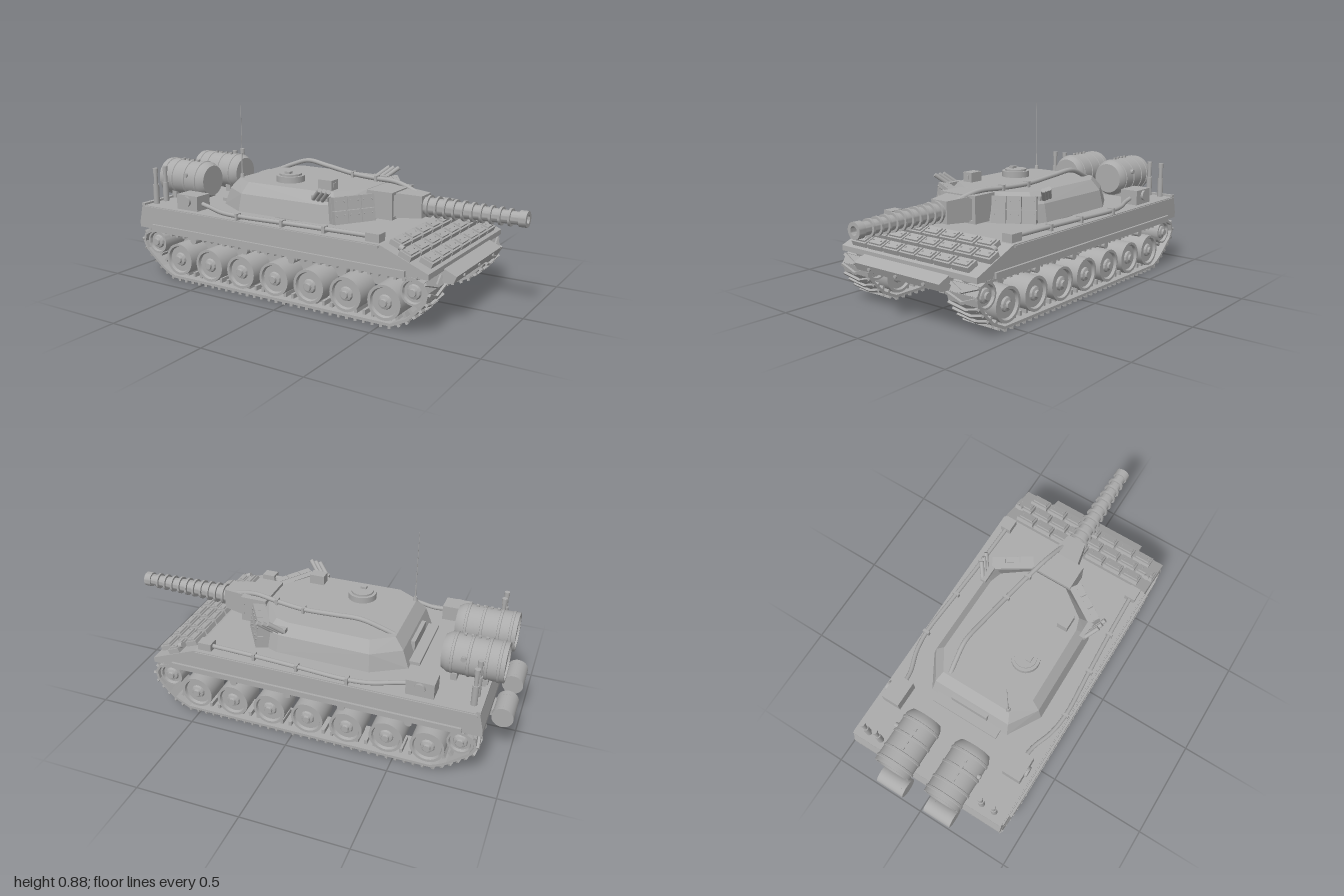
import * as THREE from 'three';
import { ConvexGeometry } from 'three/addons/geometries/ConvexGeometry.js';
import { mergeGeometries, toCreasedNormals } from 'three/addons/utils/BufferGeometryUtils.js';

const grey = new THREE.MeshStandardMaterial({ color: 0xababab });
grey.name = 'armour grey';

// Helpers
function add(parent, name, geo, x = 0, y = 0, z = 0) {
  const m = new THREE.Mesh(geo, grey);
  m.name = name;
  m.position.set(x, y, z);
  parent.add(m);
  return m;
}
const box = (w, h, d) => new THREE.BoxGeometry(w, h, d);
const cyl = (r, h, r2 = r, n = 24) => new THREE.CylinderGeometry(r2, r, h, n);
const cylX = (r, h, r2 = r, n = 24) => cyl(r, h, r2, n).rotateZ(-Math.PI / 2);
const cylZ = (r, h, r2 = r, n = 24) => cyl(r, h, r2, n).rotateX(Math.PI / 2);
const vec = (a) => new THREE.Vector3(...a);

// Profile in x/y pulled across z, centred
function slab(points, width) {
  const shape = new THREE.Shape(points.map(([x, y]) => new THREE.Vector2(x, y)));
  return new THREE.ExtrudeGeometry(shape, { depth: width, bevelEnabled: false }).translate(0, 0, -width / 2);
}
// Turned part, profile [radius, height]
function turned(points, n = 32) {
  const g = new THREE.LatheGeometry(points.map(([r, h]) => new THREE.Vector2(r, h)), n);
  return toCreasedNormals(g, 0.6);
}
function hose(points, r) {
  return new THREE.TubeGeometry(new THREE.CatmullRomCurve3(points.map(vec)), 48, r, 10);
}
function rod(parent, name, a, b, r) {
  const p = vec(a), q = vec(b), d = q.clone().sub(p);
  const m = add(parent, name, cyl(r, d.length(), r, 14));
  m.position.copy(p).add(q).multiplyScalar(0.5);
  m.quaternion.setFromUnitVectors(new THREE.Vector3(0, 1, 0), d.normalize());
}
function group(parent, name) {
  const g = new THREE.Group();
  g.name = name;
  parent.add(g);
  return g;
}

function buildHull(root) {
  const hull = group(root, 'hull');
  add(hull, 'upperHull', slab([[-0.895, 0.25], [0.73, 0.25], [0.73, 0.275], [0.5, 0.367], [-0.875, 0.367], [-0.895, 0.28]], 0.84));
  add(hull, 'lowerHull', slab([[-0.8, 0.125], [0.48, 0.125], [0.72, 0.2], [0.72, 0.252], [-0.885, 0.252], [-0.885, 0.21]], 0.5));
  add(hull, 'nosePlate', slab([[0.66, 0.19], [0.775, 0.197], [0.79, 0.232], [0.73, 0.258], [0.66, 0.258]], 0.53));
  for (const z of [-0.17, 0, 0.17]) add(hull, 'noseBolt', cylX(0.008, 0.012), 0.784, 0.215, z);
  add(hull, 'rearDeckLip', box(0.02, 0.012, 0.84), -0.868, 0.371, 0);
  for (const s of [-1, 1]) {
    add(hull, 'fenderStrip', box(1.43, 0.026, 0.05), -0.09, 0.262, s * 0.407);
    add(hull, 'sideRail', box(1.36, 0.01, 0.012), -0.185, 0.358, s * 0.42);
    add(hull, 'noseBracket', box(0.05, 0.03, 0.03), 0.72, 0.195, s * 0.235);
    // Stowage box, cable conduit and front box along each deck edge
    add(hull, 'stowageBox', box(0.13, 0.075, 0.095), -0.6, 0.405, s * 0.342);
    add(hull, 'boxCap', cylZ(0.026, 0.014), -0.6, 0.412, s * 0.395);
    add(hull, 'frontBox', box(0.068, 0.04, 0.055), 0.453, 0.385, s * 0.372);
    add(hull, 'conduit', hose([[-0.55, 0.4, s * 0.345], [-0.48, 0.39, s * 0.355], [-0.38, 0.385, s * 0.39], [-0.27, 0.385, s * 0.405],
      [-0.02, 0.385, s * 0.392], [0.2, 0.385, s * 0.38], [0.43, 0.385, s * 0.372]], 0.011));
    for (const [x, z] of [[-0.27, 0.405], [-0.02, 0.392], [0.2, 0.38]])
      add(hull, 'conduitClamp', box(0.014, 0.034, 0.034), x, 0.382, s * z);
    // Twin exhaust stacks
    for (const z of [0.288, 0.357]) {
      add(hull, 'exhaustBase', cyl(0.015, 0.105), -0.835, 0.415, s * z);
      add(hull, 'exhaustPipe', cyl(0.01, 0.07), -0.835, 0.495, s * z);
      add(hull, 'exhaustTip', cyl(0.013, 0.025), -0.835, 0.538, s * z);
    }
  }
}

// Rows of armour blocks on the sloping front
function buildGlacis(root) {
  const g = group(root, 'glacisArmour');
  g.position.set(0.5, 0.367, 0);
  g.rotation.z = -Math.atan2(0.092, 0.23);
  [[0.045, 7], [0.12, 8], [0.2, 7]].forEach(([d, n]) => {
    for (let i = 0; i < n; i++) {
      const z = (i - (n - 1) / 2) * 0.105;
      add(g, 'armourBlock', box(0.06, 0.026, 0.094), d, 0.011, z);
      add(g, 'armourLid', box(0.042, 0.01, 0.076), d, 0.027, z);
      for (const s of [-1, 1]) add(g, 'armourBolt', cyl(0.004, 0.005, 0.004, 8), d, 0.034, z + s * 0.026);
    }
  });
  for (const s of [-1, 1]) add(g, 'headlamp', cylX(0.014, 0.02), 0.085, 0.025, s * 0.385);
}

function buildTurret(root) {
  const t = group(root, 'turret');
  const levels = [
    [0.38, [[-0.5, 0.215], [-0.34, 0.31], [0.12, 0.305], [0.19, 0.28], [0.3, 0.11]]],
    [0.465, [[-0.47, 0.205], [-0.335, 0.292], [0.115, 0.287], [0.175, 0.265], [0.28, 0.105]]],
    [0.517, [[-0.425, 0.185], [-0.32, 0.25], [0.09, 0.245], [0.15, 0.225], [0.25, 0.09]]],
  ];
  const pts = [];
  for (const [y, ring] of levels) for (const [x, z] of ring) for (const s of [-1, 1]) pts.push(new THREE.Vector3(x, y, s * z));
  add(t, 'turretShell', new ConvexGeometry(pts));
  add(t, 'turretRing', cyl(0.28, 0.03, 0.28, 48), -0.08, 0.374, 0);
  add(t, 'rearShelf', box(0.09, 0.016, 0.36), -0.5, 0.39, 0);
  add(t, 'rearVent', box(0.02, 0.05, 0.2), -0.487, 0.43, 0);
  // Angled cheek armour, two rows of three
  for (const s of [-1, 1]) {
    const cheek = group(t, 'cheekArmour');
    cheek.position.set(0.247, 0.448, s * 0.215);
    cheek.rotation.order = 'YXZ';
    cheek.rotation.set(-0.16, s > 0 ? 1.0 : Math.PI - 1.0, 0);
    add(cheek, 'backing', box(0.21, 0.12, 0.03), 0, 0, -0.02);
    for (let c = -1; c <= 1; c++) for (const r of [-1, 1]) {
      add(cheek, 'cheekBlock', box(0.066, 0.06, 0.03), c * 0.07, r * 0.032, 0.01);
      for (const b of [-1, 1]) add(cheek, 'cheekBolt', cylZ(0.005, 0.006, 0.005, 8), c * 0.07 + b * 0.02, r * 0.032 + 0.01, 0.027);
    }
    // Smoke launchers
    for (let i = 0; i < 3; i++) {
      const x = 0.085 + i * 0.026, z = 0.292 + i * 0.004;
      rod(t, 'smokeLauncher', [x, 0.492, s * z], [x + 0.06, 0.545, s * (z + 0.042)], 0.011);
    }
    add(t, 'launcherBracket', box(0.09, 0.02, 0.03), 0.12, 0.497, s * 0.285);
  }
  // Cupola, sight and roof fittings
  add(t, 'cupola', cyl(0.07, 0.034), -0.165, 0.53, 0.115);
  add(t, 'cupolaHatch', cyl(0.055, 0.01), -0.165, 0.551, 0.115);
  add(t, 'hatchHandle', box(0.03, 0.012, 0.025), -0.165, 0.561, 0.135);
  add(t, 'sightBox', box(0.075, 0.055, 0.055), 0.093, 0.537, 0.182);
  add(t, 'sightWindow', box(0.006, 0.02, 0.025), 0.132, 0.541, 0.182);
  add(t, 'antennaBase', cyl(0.012, 0.024, 0.008), -0.418, 0.525, 0.175);
  add(t, 'antennaSpring', cyl(0.0035, 0.07, 0.003, 10), -0.418, 0.565, 0.175);
  add(t, 'antenna', cyl(0.002, 0.29, 0.001, 8), -0.418, 0.735, 0.175);
  add(t, 'roofHose', hose([[-0.41, 0.51, -0.155], [-0.35, 0.535, -0.162], [-0.25, 0.566, -0.17], [-0.12, 0.553, -0.155],
    [0.05, 0.533, -0.13], [0.2, 0.53, -0.1], [0.33, 0.53, -0.07], [0.46, 0.495, -0.04]], 0.012));
  for (const [x, z] of [[0.05, -0.13], [0.2, -0.1]]) add(t, 'hoseClamp', box(0.014, 0.035, 0.034), x, 0.528, z);
}

function buildGun(root) {
  const g = group(root, 'gun');
  const y = 0.454;
  add(g, 'mantlet', box(0.12, 0.13, 0.215), 0.32, y, 0);
  // Raised border on the mantlet face
  for (const s of [-1, 1]) {
    add(g, 'mantletEdge', box(0.016, 0.13, 0.016), 0.386, y, s * 0.1);
    add(g, 'mantletEdge', box(0.016, 0.014, 0.2), 0.386, y + s * 0.058, 0);
  }
  const root8 = [];
  for (const [x, h, w] of [[0.37, 0.06, 0.078], [0.515, 0.052, 0.048]])
    for (const a of [-1, 1]) for (const b of [-1, 1]) root8.push(new THREE.Vector3(x, y + a * h, b * w));
  add(g, 'gunRoot', new ConvexGeometry(root8));
  // Ribbed barrel with open muzzle
  const p = [[0, 0.45], [0.045, 0.45]];
  for (let i = 0; i < 10; i++) {
    const x = 0.53 + i * 0.043, r = 0.041 - i * 0.0013;
    p.push([r, x], [r + 0.011, x], [r + 0.011, x + 0.011], [r, x + 0.011]);
  }
  p.push([0.029, 0.965], [0.037, 0.965], [0.037, 1], [0.02, 1], [0.02, 0.9], [0, 0.9]);
  add(g, 'barrel', turned(p).rotateZ(-Math.PI / 2), 0, y, 0);
}

function buildFuel(root) {
  const f = group(root, 'fuelDrums');
  for (const z of [-0.138, 0.135]) {
    const p = [[0, -0.135], [0.082, -0.135], [0.082, -0.145], [0.094, -0.145]];
    for (const x of [-0.125, -0.07, 0.01, 0.085]) p.push([0.094, x], [0.098, x + 0.002], [0.098, x + 0.012], [0.094, x + 0.014]);
    p.push([0.094, 0.115], [0.078, 0.142], [0, 0.142]);
    add(f, 'drum', turned(p, 40).rotateZ(-Math.PI / 2), -0.787, 0.468, z);
    for (const x of [-0.85, -0.71]) add(f, 'drumCradle', box(0.03, 0.045, 0.15), x, 0.38, z);
    for (let i = 0; i < 4; i++) add(f, 'drumStud', box(0.012, 0.016, 0.012), -0.83 + i * 0.033, 0.564, z + 0.01);
    add(f, 'drumCap', cylZ(0.012, 0.02), -0.75, 0.5, z + Math.sign(z) * 0.09);
    // Small rolls on the rear plate
    add(f, 'rearRoll', cylZ(0.05, 0.15), -0.95, 0.225, z - 0.01);
    for (const s of [-1, 1]) add(f, 'rollStrap', cylZ(0.0505, 0.012), -0.949, 0.225, z - 0.01 + s * 0.05);
    add(f, 'rollBracket', box(0.06, 0.03, 0.1), -0.9, 0.225, z - 0.01);
  }
}

function buildRunningGear(root, s) {
  const g = group(root, s > 0 ? 'leftTrack' : 'rightTrack');
  g.position.z = s * 0.335;
  // Belt path, centre line of the links
  const loop = [[-0.68, 0.018], [0.56, 0.018], [0.64, 0.06], [0.715, 0.145], [0.727, 0.185], [0.71, 0.225], [0.66, 0.243],
    [-0.81, 0.243], [-0.86, 0.222], [-0.877, 0.185], [-0.86, 0.145], [-0.74, 0.045]];
  const path = new THREE.CurvePath();
  loop.forEach((a, i) => {
    const b = loop[(i + 1) % loop.length];
    path.add(new THREE.LineCurve3(vec([...a, 0]), vec([...b, 0])));
  });
  const pts = path.getSpacedPoints(80), links = [], pads = [], teeth = [];
  for (let i = 0; i < 80; i++) {
    const a = pts[i], b = pts[i + 1], len = a.distanceTo(b);
    const m = new THREE.Matrix4().makeRotationZ(Math.atan2(b.y - a.y, b.x - a.x));
    m.setPosition((a.x + b.x) / 2, (a.y + b.y) / 2, 0);
    links.push(box(len + 0.003, 0.013, 0.168).applyMatrix4(m));
    teeth.push(box(0.014, 0.026, 0.1).translate(0, 0.016, 0).applyMatrix4(m));
    for (const k of [-1, 1])
      pads.push(box(0.013, 0.013, 0.09).rotateY(k * 0.38).translate(0, -0.0115, k * 0.042).applyMatrix4(m));
  }
  add(g, 'trackLinks', mergeGeometries(links));
  add(g, 'trackChevrons', mergeGeometries(pads));
  add(g, 'trackTeeth', mergeGeometries(teeth));
  // Wheels: dished disc with rim and hub on both faces
  const wheel = (r) => {
    const half = [[0, 0.078], [0.016, 0.078], [0.018, 0.068], [0.03, 0.064], [0.034, 0.054], [r * 0.78, 0.054], [r * 0.84, 0.068], [r, 0.068]];
    return turned([...half.map(([a, h]) => [a, -h]), ...half.reverse()], 36).rotateX(Math.PI / 2);
  };
  for (let i = 0; i < 7; i++) {
    const x = -0.655 + i * 0.195;
    add(g, 'roadWheel', wheel(0.081), x, 0.106, 0);
    add(g, 'wheelAxle', cylZ(0.02, 0.1), x, 0.106, -s * 0.1);
  }
  for (const x of [-0.8, 0.653]) {
    add(g, 'endWheel', wheel(0.06), x, 0.178, 0);
    add(g, 'endAxle', cylZ(0.025, 0.1), x, 0.178, -s * 0.1);
  }
  for (const x of [-0.56, -0.24, 0.03, 0.31]) add(g, 'returnRoller', cylZ(0.018, 0.13), x, 0.217, 0);
}

export function createModel() {
  const root = new THREE.Group();
  root.name = 'tank';
  buildHull(root);
  buildGlacis(root);
  buildTurret(root);
  buildGun(root);
  buildFuel(root);
  for (const s of [-1, 1]) buildRunningGear(root, s);
  return root;
}
